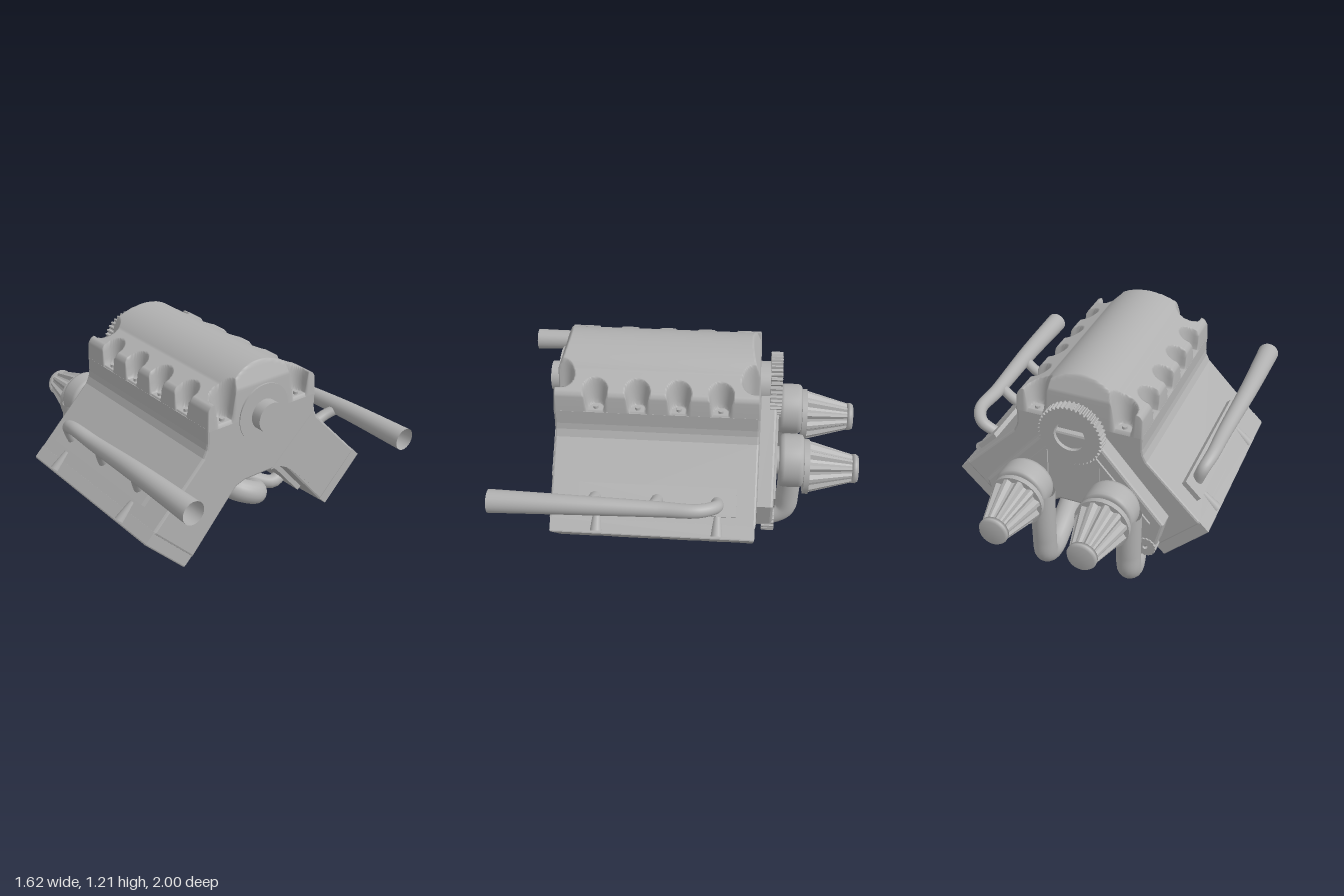
import * as THREE from 'three';

const metal = new THREE.MeshStandardMaterial({ color: 0xb0b0b0, side: THREE.DoubleSide });
metal.name = 'grey metal';
const CX = -0.045; // centre line of the engine
const V = (x, y, z) => new THREE.Vector3(x, y, z);

function add(parent, name, geo, x = 0, y = 0, z = 0) {
  const m = new THREE.Mesh(geo, metal);
  m.name = name;
  m.position.set(x, y, z);
  parent.add(m);
  return m;
}
const flat = (g) => { const n = g.toNonIndexed(); n.computeVertexNormals(); return n; };
// Cylinder along z; r1 is the front radius, r2 the rear one
const zCyl = (r1, r2, len, seg = 32) => new THREE.CylinderGeometry(r1, r2, len, seg).rotateX(Math.PI / 2);

function shapeOf(points) {
  return new THREE.Shape(points.map(([x, y]) => new THREE.Vector2(x, y)));
}
function mirrored(half) {
  return half.concat(half.slice().reverse().map(([x, y]) => [-x, y]));
}
function slab(shape, z0, z1, bevel) {
  return new THREE.ExtrudeGeometry(shape, {
    depth: z1 - z0 - 2 * bevel, bevelEnabled: bevel > 0, bevelSize: bevel, bevelThickness: bevel,
    bevelOffset: -bevel, bevelSegments: 2, curveSegments: 16,
  }).translate(0, 0, z0 + bevel);
}
// Tube through points, radius running from r0 to r1
function pipe(points, r0, r1 = r0, seg = 60, sides = 20) {
  const curve = new THREE.CatmullRomCurve3(points.map((p) => V(...p)), false, 'centripetal');
  const g = new THREE.TubeGeometry(curve, seg, 1, sides);
  const p = g.attributes.position, v = V(0, 0, 0);
  for (let i = 0; i < p.count; i++) {
    const t = Math.floor(i / (sides + 1)) / seg, c = curve.getPointAt(t);
    v.fromBufferAttribute(p, i).sub(c).multiplyScalar(r0 + (r1 - r0) * t).add(c);
    p.setXYZ(i, v.x, v.y, v.z);
  }
  return g;
}
// Toothed wheel along z with a bore
function gear(r, bore, len, teeth) {
  const pts = [];
  for (let i = 0; i < teeth * 4; i++) {
    const a = (i / (teeth * 4)) * Math.PI * 2, k = i % 4 < 2 ? r : r * 0.93;
    pts.push([Math.cos(a) * k, Math.sin(a) * k]);
  }
  const s = shapeOf(pts);
  s.holes.push(new THREE.Path().absarc(0, 0, bore, 0, Math.PI * 2, true));
  return slab(s, -len / 2, len / 2, 0);
}

// Top cover: height rule with rounded crown, sloped ends and bolt pockets
const pockets = [];
for (const s of [-1, 1]) {
  for (const z of [0.47, 0.24, 0.015, -0.215]) pockets.push([s * 0.335, z, 'side']);
  for (const z of [0.665, -0.395]) pockets.push([s * 0.255, z, 'end']);
}
function coverHeight(u, z) {
  const a = Math.abs(u);
  const crown = a < 0.215 ? 0.91 + Math.sqrt(0.09 - a * a)
    : a < 0.335 ? 1.119 - (a - 0.215) * 0.45
    : 1.065 - ((a - 0.335) / 0.035) ** 2 * 0.05;
  const edge = Math.min(0.70 - z, z + 0.43);
  let h = Math.min(crown, 1.08 + edge * 2.4);
  for (const [pu, pz, kind] of pockets) {
    let du = u - pu, dz = z - pz;
    if (kind === 'side' && du * pu > 0) du = 0;
    if (kind === 'end' && dz * (pz - 0.135) > 0) dz = 0;
    h = Math.min(h, 0.95 + Math.max(0, Math.hypot(du, dz) - 0.047) * 6);
  }
  return h;
}
function coverGeometry() {
  const g = new THREE.PlaneGeometry(0.74, 1.13, 120, 160).rotateX(-Math.PI / 2).translate(0, 0, 0.135);
  const p = g.attributes.position;
  for (let i = 0; i < p.count; i++) {
    const u = p.getX(i), z = p.getZ(i);
    const rim = Math.abs(u) > 0.3699 || z > 0.6999 || z < -0.4299;
    p.setY(i, rim ? 0.93 : coverHeight(u, z));
  }
  g.computeVertexNormals();
  return g;
}

// End plate of a bank, with scallops along its lower edge
function headPlate(s) {
  const sh = new THREE.Shape();
  sh.moveTo(-0.56, -0.17);
  for (const c of [-0.43, -0.11, 0.12, 0.32].map((z) => z * s).sort((a, b) => a - b)) {
    const x = c + s * 0.135;
    sh.lineTo(x - 0.05, -0.177);
    sh.absarc(x, -0.177, 0.05, Math.PI, 0, true);
  }
  sh.lineTo(0.56, -0.17);
  sh.lineTo(0.56, 0.177);
  sh.lineTo(-0.56, 0.177);
  const g = slab(sh, -0.09, 0, 0.008);
  const k = Math.SQRT1_2;
  g.applyMatrix4(new THREE.Matrix4().makeBasis(V(0, 0, -s), V(s * k, k, 0), V(s * k, -k, 0)));
  return g.translate(s * 0.64, 0.285, 0.135);
}

function airFilter(parent, x) {
  const f = new THREE.Group();
  f.name = 'airFilter';
  f.position.set(x, 0.535, 0);
  parent.add(f);
  add(f, 'filterBase', zCyl(0.157, 0.157, 0.03), 0, 0, -0.705);
  const g = zCyl(0.15, 0.078, 0.26, 44), p = g.attributes.position;
  for (let i = 0; i < p.count; i++) {
    const step = Math.round(((Math.atan2(p.getY(i), p.getX(i)) / (Math.PI * 2)) + 1) * 44);
    const k = step % 4 < 2 ? 1 : 0.86;
    p.setXY(i, p.getX(i) * k, p.getY(i) * k);
  }
  add(f, 'filterPleats', flat(g), 0, 0, -0.845);
  const cap = [[0, 0], [0.082, 0], [0.084, 0.02], [0.074, 0.036], [0, 0.036]].map(([a, b]) => new THREE.Vector2(a, b));
  add(f, 'filterCap', new THREE.LatheGeometry(cap, 32).rotateX(-Math.PI / 2), 0, 0, -0.964);
}

export function createModel() {
  const root = new THREE.Group();
  root.name = 'engine';
  const core = new THREE.Group();
  core.name = 'engineCore';
  core.position.x = CX;
  root.add(core);

  // Block: inverted V section
  add(core, 'block', slab(shapeOf(mirrored([
    [0.37, 0.942], [0.37, 0.86], [0.376, 0.825], [0.395, 0.785], [0.715, 0.46], [0.465, 0.21],
    [0.425, 0.255], [0.205, 0.505], [0.17, 0.54], [0.115, 0.558],
  ])), -0.43, 0.70, 0.012));
  add(core, 'topCover', coverGeometry());
  for (const [u, z] of pockets) add(core, 'coverBolt', new THREE.CylinderGeometry(0.014, 0.014, 0.02, 12), u, 0.955, z);

  // Front hub and cover plates
  add(core, 'frontHub', zCyl(0.085, 0.085, 0.07, 40), 0, 0.925, 0.73);
  add(core, 'frontBoss', zCyl(0.165, 0.165, 0.01, 48), 0, 0.93, 0.70);
  add(core, 'bankPanel', slab(shapeOf([[0.07, 0.56], [0.345, 0.81], [0.535, 0.62], [0.37, 0.36], [0.19, 0.53], [0.13, 0.562]]), 0.698, 0.704, 0));

  // Rear timing cover, with a raised frame around each leg
  add(core, 'timingCover', slab(shapeOf(mirrored([
    [0.13, 0.93], [0.535, 0.46], [0.50, 0.31], [0.40, 0.25], [0.07, 0.46],
  ])), -0.525, -0.42, 0.015));
  add(core, 'crankGear', gear(0.185, 0.09, 0.065, 44), 0, 0.925, -0.515);
  add(core, 'crankHub', zCyl(0.13, 0.13, 0.08), 0, 0.925, -0.455);

  for (const s of [-1, 1]) {
    add(core, 'headPlate', headPlate(s));
    const frame = shapeOf([[0.14, 0.82], [0.46, 0.46], [0.42, 0.36], [0.14, 0.54]].map(([x, y]) => [x * s, y]));
    frame.holes.push(shapeOf([[0.165, 0.76], [0.43, 0.455], [0.405, 0.40], [0.165, 0.555]].map(([x, y]) => [x * s, y])));
    add(core, 'timingFrame', slab(frame, -0.537, -0.52, 0));
    add(core, 'camGear', gear(0.06, 0.015, 0.07, 16), s * 0.44, 0.285, -0.50);
    add(core, 'camShaft', zCyl(0.03, 0.03, 0.1), s * 0.44, 0.285, -0.46);

    // Bosses on the outer slope
    for (const z of [0.44, -0.22])
      add(core, 'bankBoss', pipe([[s * 0.66, 0.50, z], [s * 0.745, 0.415, z]], 0.02, 0.034, 4, 16));

    // Inner manifold: flange and runners into the collector
    const flange = add(core, 'innerFlange', new THREE.BoxGeometry(0.26, 0.03, 0.95), s * 0.31, 0.365, 0.12);
    flange.rotation.z = -s * 0.85;
    for (const z of [0.47, 0.24, 0.01, -0.22])
      add(core, 'innerRunner', pipe([[s * 0.37, 0.32, z], [s * 0.29, 0.29, z], [s * 0.18, 0.32, 0.12 + (z - 0.12) * 0.7],
        [s * 0.04, 0.36, 0.12 + (z - 0.12) * 0.3]], 0.04, 0.04, 20, 14));

    // Side exhaust: flange on the slope, long tapered pipe, short feeders
    const right = s > 0;
    const base = right ? [0.585, 0.56] : [-0.665, 0.575];
    const side = new THREE.Group();
    side.name = 'sideExhaust';
    root.add(side);
    const pad = add(side, 'exhaustFlange', new THREE.BoxGeometry(right ? 0.155 : 0.13, 0.035, 0.86), base[0], base[1], 0.11);
    pad.rotation.z = -s * Math.PI / 4;
    const tip = right ? [0.745, 0.635] : [-0.737, 0.735];
    const mid = right ? [0.735, 0.625] : [-0.715, 0.70];
    add(side, 'exhaustPipe', pipe([[...base, -0.215], [base[0] + (mid[0] - base[0]) * 0.6, base[1] + (mid[1] - base[1]) * 0.7, -0.21],
      [...mid, -0.12], [...mid, 0.1], [...tip, 0.55], [...tip, 1]], 0.033, 0.064, 80, 24));
    for (const z of [0.13, 0.47])
      add(side, 'exhaustFeeder', pipe([[...base, z - 0.02], [(base[0] + mid[0]) / 2, (base[1] + mid[1]) / 2, z - 0.01], [...mid, z + 0.02]], 0.035, 0.03, 12, 16));

    // Compressor housing with shaft and filter
    const hx = right ? 0.20 : -0.31;
    const ring = [[0, -0.07], [0.13, -0.07], [0.147, -0.06], [0.152, -0.04], [0.152, 0.04], [0.147, 0.06], [0.13, 0.07], [0, 0.07]]
      .map(([a, b]) => new THREE.Vector2(a, b));
    add(root, 'compressorHousing', new THREE.LatheGeometry(ring, 40).rotateX(Math.PI / 2), hx, 0.57, -0.62);
    add(root, 'compressorShaft', zCyl(0.08, 0.08, 0.14), hx, 0.57, -0.50);
    airFilter(root, right ? 0.205 : -0.30);
  }

  // Collector and the two large pipes feeding the housings
  add(core, 'collector', new THREE.BoxGeometry(0.22, 0.13, 0.26), 0, 0.355, 0.14);
  add(root, 'leftDownPipe', pipe([[-0.05, 0.36, 0.2], [-0.06, 0.355, 0.36], [0.0, 0.325, 0.47], [0.1, 0.28, 0.49], [0.155, 0.24, 0.38],
    [0.15, 0.18, 0.05], [0.11, 0.12, -0.3], [0.095, 0.072, -0.5], [0.09, 0.12, -0.6], [0.088, 0.25, -0.62], [0.088, 0.57, -0.62]], 0.068, 0.068, 110));
  add(root, 'rightDownPipe', pipe([[-0.08, 0.34, 0.1], [-0.16, 0.27, 0.0], [-0.28, 0.18, -0.18], [-0.37, 0.125, -0.38], [-0.41, 0.125, -0.53],
    [-0.42, 0.19, -0.61], [-0.42, 0.3, -0.62], [-0.42, 0.57, -0.62]], 0.068, 0.068, 90));
  return root;
}
